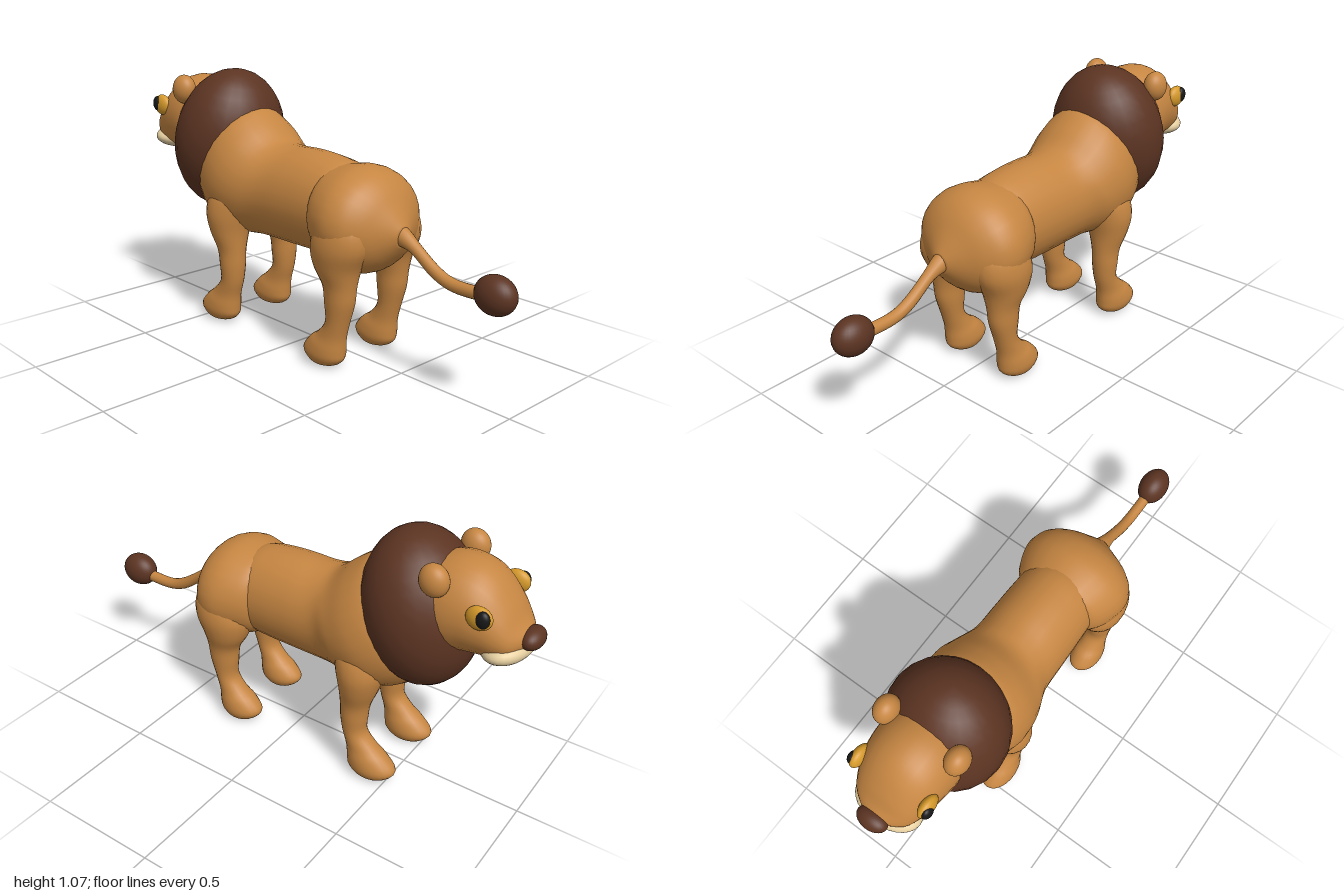
import * as THREE from 'three';

const mat = (name, color) => Object.assign(new THREE.MeshStandardMaterial({ color }), { name });

// Smooth closed loft. Each section is an ellipse across two opposite points
// in the xy plane: [ax, ay, bx, by, halfWidth, centreZ].
function loft(sections, steps = 5, sides = 28) {
  const n = sections.length;
  const at = (i) => sections[Math.max(0, Math.min(n - 1, i))];
  const rings = [];
  for (let s = 0; s <= (n - 1) * steps; s++) {
    const i = Math.min(n - 2, Math.floor(s / steps));
    const t = s / steps - i;
    rings.push(at(i).map((_, k) => {
      const [p, q, r, w] = [at(i - 1)[k], at(i)[k], at(i + 1)[k], at(i + 2)[k]];
      return q + 0.5 * t * (r - p + t * (2 * p - 5 * q + 4 * r - w + t * (3 * (q - r) + w - p)));
    }));
  }
  const pos = [], index = [];
  for (const [ax, ay, bx, by, w, z = 0] of rings) {
    for (let j = 0; j < sides; j++) {
      const a = (j / sides) * Math.PI * 2, c = Math.cos(a) / 2;
      pos.push((ax + bx) / 2 + (ax - bx) * c, (ay + by) / 2 + (ay - by) * c, z + w * Math.sin(a));
    }
  }
  for (let i = 0; i < rings.length - 1; i++) {
    for (let j = 0; j < sides; j++) {
      const a = i * sides + j, b = i * sides + (j + 1) % sides;
      index.push(a, b, a + sides, b, b + sides, a + sides);
    }
  }
  // End caps
  const last = (rings.length - 1) * sides, tip = rings.length * sides;
  for (const [ax, ay, bx, by, , z = 0] of [rings[0], rings[rings.length - 1]]) {
    pos.push((ax + bx) / 2, (ay + by) / 2, z);
  }
  for (let j = 0; j < sides; j++) {
    const k = (j + 1) % sides;
    index.push(tip, k, j, tip + 1, last + j, last + k);
  }
  const g = new THREE.BufferGeometry();
  g.setAttribute('position', new THREE.Float32BufferAttribute(pos, 3));
  g.setIndex(index);
  g.computeVertexNormals();
  return g;
}

export function createModel() {
  const lion = new THREE.Group();
  lion.name = 'lion';
  const fur = mat('tan fur', 0xc68642);
  const brown = mat('dark brown mane', 0x5c3422);
  const cream = mat('cream muzzle', 0xe6cfa0);
  const amber = mat('amber iris', 0xd69a2b);
  const black = mat('black pupil', 0x171717);

  const add = (name, geometry, material) => {
    const m = new THREE.Mesh(geometry, material);
    m.name = name;
    lion.add(m);
    return m;
  };
  const ellipsoid = (name, material, p, r, tilt = 0, seg = 28) => {
    const m = add(name, new THREE.SphereGeometry(1, seg, Math.round(seg * 0.7)), material);
    m.position.set(...p);
    m.scale.set(...r);
    m.rotation.z = tilt;
    return m;
  };

  // Chest and waist
  add('trunk', loft([
    [-0.40, 0.92, -0.60, 0.53, 0.17],
    [-0.33, 0.93, -0.56, 0.47, 0.215],
    [-0.25, 0.88, -0.47, 0.41, 0.236],
    [-0.17, 0.815, -0.36, 0.39, 0.22],
    [-0.10, 0.803, -0.23, 0.40, 0.185],
    [0.00, 0.805, -0.05, 0.40, 0.178],
    [0.10, 0.80, 0.10, 0.402, 0.174],
    [0.20, 0.783, 0.20, 0.412, 0.165],
    [0.28, 0.74, 0.28, 0.45, 0.13],
  ]), fur);

  // Hips
  add('hindquarters', loft([
    [0.13, 0.71, 0.13, 0.47, 0.12],
    [0.16, 0.765, 0.16, 0.42, 0.18],
    [0.22, 0.782, 0.22, 0.39, 0.218],
    [0.30, 0.788, 0.30, 0.37, 0.238],
    [0.37, 0.765, 0.37, 0.385, 0.22],
    [0.42, 0.72, 0.42, 0.42, 0.17],
    [0.46, 0.655, 0.46, 0.465, 0.10],
    [0.50, 0.583, 0.49, 0.508, 0.035],
  ]), fur);

  // Tail with tuft
  add('tail', loft([
    [0.45, 0.61, 0.45, 0.51, 0.04],
    [0.51, 0.58, 0.49, 0.51, 0.033],
    [0.57, 0.535, 0.545, 0.495, 0.024],
    [0.66, 0.475, 0.64, 0.43, 0.023],
    [0.74, 0.448, 0.735, 0.40, 0.023],
    [0.87, 0.45, 0.87, 0.40, 0.023],
  ], 5, 16), fur);
  ellipsoid('tailTuft', brown, [0.915, 0.437, 0], [0.083, 0.073, 0.061]);

  // Head, from muzzle tip to the back of the skull
  add('head', loft([
    [-0.955, 0.815, -0.945, 0.75, 0.05],
    [-0.92, 0.855, -0.91, 0.715, 0.105],
    [-0.88, 0.92, -0.86, 0.693, 0.135],
    [-0.82, 0.99, -0.80, 0.685, 0.155],
    [-0.75, 1.03, -0.74, 0.677, 0.168],
    [-0.66, 1.035, -0.66, 0.66, 0.172],
    [-0.55, 1.0, -0.55, 0.70, 0.15],
  ]), fur);
  ellipsoid('mane', brown, [-0.53, 0.772, 0], [0.222, 0.31, 0.247], -0.24, 24);
  ellipsoid('muzzle', cream, [-0.875, 0.742, 0], [0.09, 0.053, 0.14], -0.12);
  ellipsoid('nose', brown, [-0.958, 0.795, 0], [0.042, 0.04, 0.064]);

  // Legs run from inside the body down to the paw
  const foreLeg = (z) => [
    [-0.28, 0.64, -0.42, 0.64, 0.05, z * 0.85],
    [-0.255, 0.58, -0.45, 0.58, 0.088, z * 0.93],
    [-0.265, 0.50, -0.46, 0.50, 0.10, z * 0.97],
    [-0.28, 0.42, -0.44, 0.42, 0.085, z * 0.99],
    [-0.285, 0.34, -0.41, 0.34, 0.06, z],
    [-0.288, 0.27, -0.40, 0.27, 0.055, z],
    [-0.298, 0.20, -0.40, 0.20, 0.049, z],
    [-0.318, 0.13, -0.45, 0.145, 0.053, z],
    [-0.324, 0.075, -0.495, 0.112, 0.064, z],
    [-0.33, 0.04, -0.537, 0.062, 0.066, z],
    [-0.36, 0.015, -0.505, 0.022, 0.05, z],
    [-0.40, 0.006, -0.46, 0.008, 0.02, z],
  ];
  const hindLeg = (z) => [
    [0.38, 0.66, 0.24, 0.66, 0.05, z * 0.85],
    [0.425, 0.58, 0.20, 0.58, 0.09, z * 0.93],
    [0.43, 0.50, 0.175, 0.50, 0.102, z * 0.96],
    [0.395, 0.42, 0.195, 0.42, 0.085, z * 0.99],
    [0.38, 0.35, 0.235, 0.35, 0.062, z],
    [0.372, 0.28, 0.245, 0.28, 0.056, z],
    [0.348, 0.20, 0.25, 0.20, 0.049, z],
    [0.33, 0.13, 0.21, 0.145, 0.053, z],
    [0.326, 0.075, 0.165, 0.112, 0.064, z],
    [0.32, 0.04, 0.128, 0.062, 0.066, z],
    [0.29, 0.015, 0.16, 0.022, 0.05, z],
    [0.25, 0.006, 0.20, 0.008, 0.02, z],
  ];

  // Mirrored parts
  for (const s of [1, -1]) {
    add('foreLeg', loft(foreLeg(0.145 * s), 4, 22), fur);
    add('hindLeg', loft(hindLeg(0.145 * s), 4, 22), fur);
    ellipsoid('ear', fur, [-0.643, 0.988, 0.154 * s], [0.056, 0.062, 0.046], -0.2);
    ellipsoid('eye', amber, [-0.817, 0.9, 0.15 * s], [0.05, 0.045, 0.026]);
    ellipsoid('pupil', black, [-0.835, 0.905, 0.162 * s], [0.027, 0.033, 0.02]);
  }
  return lion;
}
